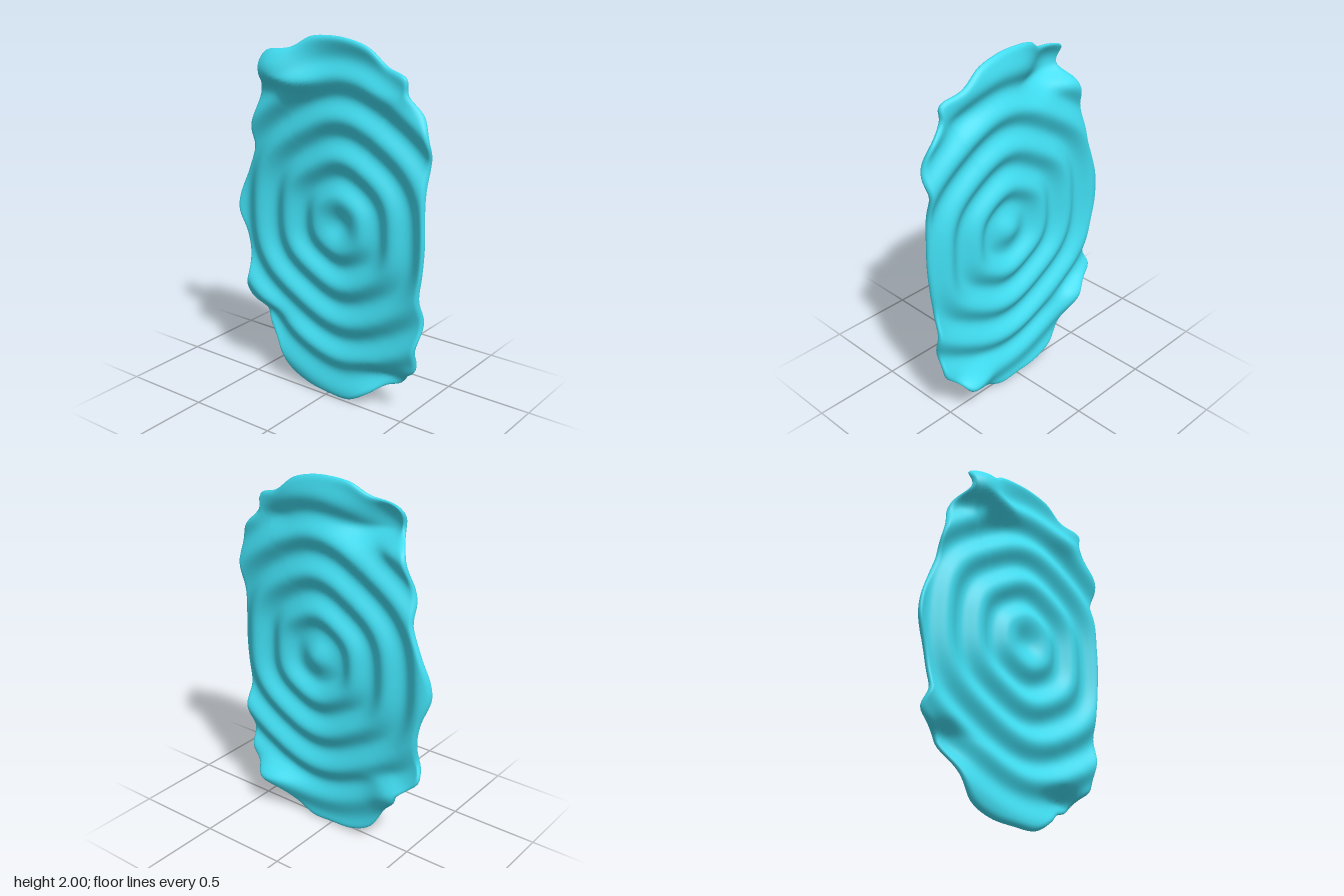
import * as THREE from 'three';

// Wavy rim of the sheet, clockwise from the top
const RIM = [
  [0, 2], [0.12, 1.995], [0.25, 1.96], [0.36, 1.88], [0.485, 1.835], [0.49, 1.76], [0.58, 1.65],
  [0.62, 1.52], [0.605, 1.4], [0.605, 1.2], [0.61, 1], [0.6, 0.85], [0.585, 0.72], [0.595, 0.55],
  [0.57, 0.42], [0.555, 0.3], [0.49, 0.24], [0.43, 0.17], [0.35, 0.14], [0.25, 0.07], [0.14, 0.01],
  [0, 0.01], [-0.15, 0.03], [-0.27, 0.09], [-0.36, 0.23], [-0.45, 0.33], [-0.47, 0.38], [-0.58, 0.49],
  [-0.555, 0.6], [-0.56, 0.73], [-0.58, 0.83], [-0.625, 0.97], [-0.615, 1.07], [-0.56, 1.22],
  [-0.515, 1.35], [-0.51, 1.46], [-0.48, 1.57], [-0.44, 1.7], [-0.38, 1.78], [-0.375, 1.89],
  [-0.2, 1.93], [-0.11, 1.985],
];

// Corner folds: x, y, width, height above, height below, depth
const FOLDS = [
  [-0.27, 1.78, 0.18, 0.15, 0.07, 0.132],
  [0.45, 1.76, 0.18, 0.12, 0.07, 0.035],
  [0.43, 0.19, 0.19, 0.06, 0.15, -0.085],
  [-0.42, 0.38, 0.14, 0.06, 0.12, -0.045],
];

const HALF = 0.019; // half thickness

// Middle surface: concentric ripples around an off-centre point, plus the folds
function sheetZ(x, y) {
  const dx = x - 0.08, dy = y - 1.02;
  const a = Math.atan2(dy, dx);
  const d = Math.hypot(dx, dy);
  const wobble = 0.02 * Math.cos(6 * a) + 0.015 * Math.sin(3 * a + 1);
  const r = d * (1 + wobble * Math.min(1, d / 0.3));
  const phase = r < 0.14 ? Math.PI * (r / 0.14 - 1) : 2 * Math.PI * (r - 0.14) / 0.205;
  const fade = 1 - 0.5 * THREE.MathUtils.smoothstep(r, 0.75, 0.92);
  let z = -0.025 + 0.021 * fade * Math.cos(phase);
  for (const [fx, fy, w, above, below, depth] of FOLDS) {
    const h = y > fy ? above : below;
    z += depth * Math.exp(-(((x - fx) / w) ** 2) - ((y - fy) / h) ** 2);
  }
  return z;
}

function rippledSheet() {
  const around = 240, rings = 64;
  const curve = new THREE.CatmullRomCurve3(RIM.map(([x, y]) => new THREE.Vector3(x, y, 0)), true, 'centripetal');
  const rim = curve.getSpacedPoints(around).slice(0, around);

  // Rings run from the front centre over the rounded rim to the back centre
  const rows = [];
  for (let j = 0; j <= rings; j++) rows.push([0.97 * j / rings, HALF]);
  for (let k = 1; k < 8; k++) {
    const q = Math.PI * k / 8;
    rows.push([0.97 + 0.03 * Math.sin(q), HALF * Math.cos(q)]);
  }
  for (let j = rings; j >= 0; j--) rows.push([0.97 * j / rings, -HALF]);

  const positions = [], index = [];
  rows.forEach(([t, offset], j) => {
    rim.forEach((p, i) => {
      const x = p.x * t, y = 1 + (p.y - 1) * t;
      positions.push(x, y, sheetZ(x, y) + offset);
      if (j === rows.length - 1) return;
      const n = (i + 1) % around;
      const a = j * around + i, b = a + around;
      const c = (j + 1) * around + n, d = j * around + n;
      index.push(a, c, b, a, d, c);
    });
  });

  const geometry = new THREE.BufferGeometry();
  geometry.setAttribute('position', new THREE.Float32BufferAttribute(positions, 3));
  geometry.setIndex(index);
  geometry.computeVertexNormals();
  return geometry;
}

export function createModel() {
  const group = new THREE.Group();
  group.name = 'rippledPanel';
  const sheet = new THREE.Mesh(rippledSheet(), new THREE.MeshStandardMaterial({ color: 0x40dcf0 }));
  sheet.name = 'rippledSheet';
  group.add(sheet);
  return group;
}
